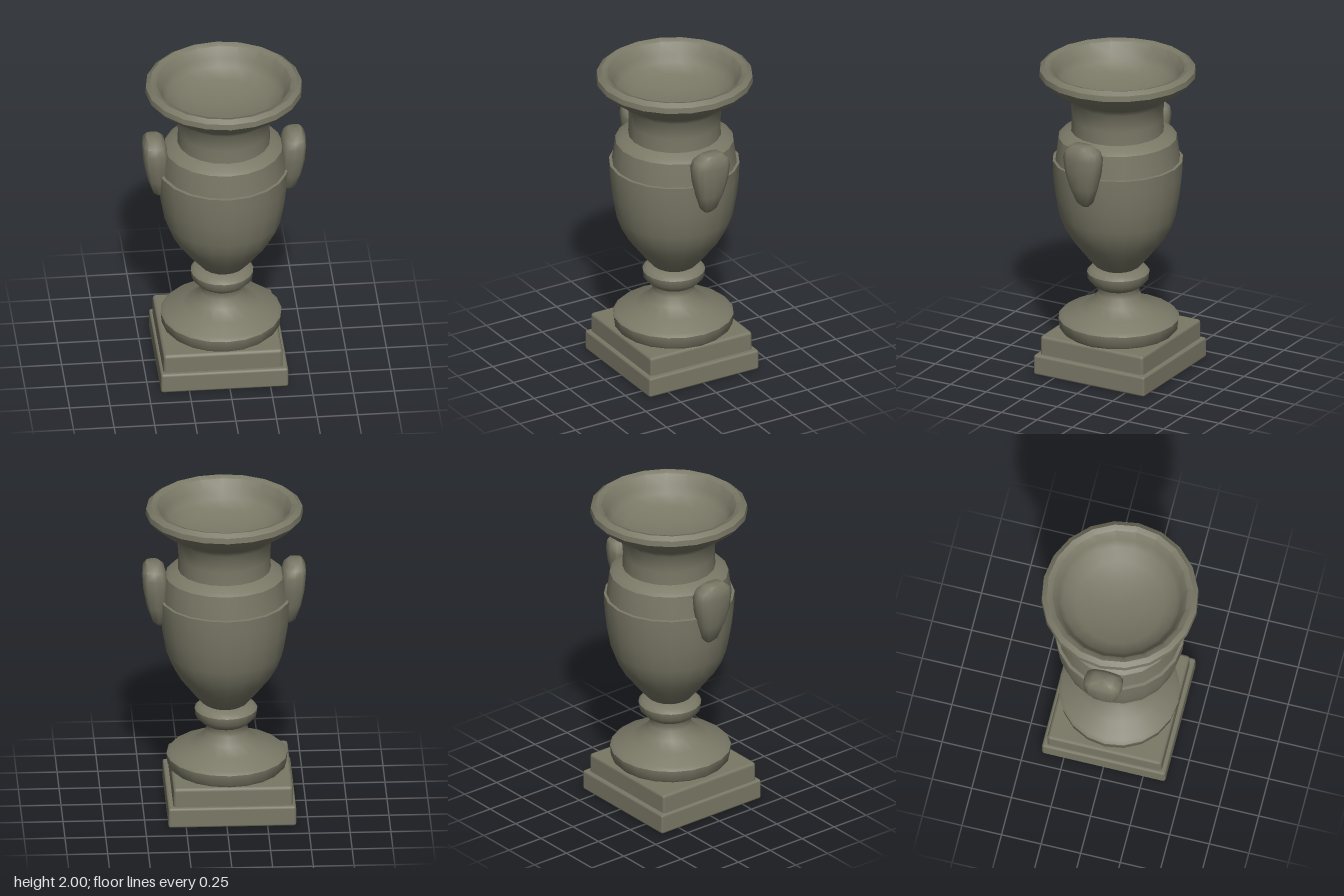
import * as THREE from 'three';
import { toCreasedNormals } from 'three/addons/utils/BufferGeometryUtils.js';
import { RoundedBoxGeometry } from 'three/addons/geometries/RoundedBoxGeometry.js';

export function createModel() {
  const group = new THREE.Group();
  const stone = new THREE.MeshStandardMaterial({ color: 0x7a7866 });

  const add = (name, geometry, x = 0, y = 0, z = 0) => {
    const mesh = new THREE.Mesh(geometry, stone);
    mesh.name = name;
    mesh.position.set(x, y, z);
    group.add(mesh);
    return mesh;
  };

  // Turned part from [radius, height] points, listed upward on the outside
  const turned = (name, points, x, segments = 20) => {
    const profile = points.map(([r, y]) => new THREE.Vector2(r, y));
    return add(name, toCreasedNormals(new THREE.LatheGeometry(profile, segments), 0.75), x);
  };

  // Square plinth in two steps, slightly off the axis
  add('lowerPlinth', new RoundedBoxGeometry(0.785, 0.13, 0.78, 1, 0.015), -0.033, 0.065, 0);
  add('upperPlinth', new RoundedBoxGeometry(0.735, 0.14, 0.725, 1, 0.02), -0.04, 0.18, 0);

  // Spreading foot and waist
  turned('foot', [
    [0.33, 0.235], [0.365, 0.27], [0.372, 0.335], [0.35, 0.355], [0.24, 0.39],
    [0.165, 0.44], [0.13, 0.49], [0.125, 0.52], [0.14, 0.56],
  ], -0.018);

  // Ring between foot and bowl
  turned('stemRing', [
    [0.12, 0.53], [0.15, 0.55], [0.188, 0.59], [0.193, 0.635], [0.17, 0.66], [0.1, 0.67],
  ], -0.012);

  // Main bowl
  turned('bowl', [
    [0.1, 0.655], [0.14, 0.68], [0.2, 0.75], [0.23, 0.79], [0.285, 0.86], [0.33, 0.94],
    [0.36, 1.02], [0.385, 1.16], [0.398, 1.28], [0.402, 1.38], [0.36, 1.385],
  ], -0.006);

  // Shoulder band above the bowl
  turned('shoulder', [
    [0.385, 1.375], [0.376, 1.45], [0.365, 1.53], [0.34, 1.55], [0.28, 1.575],
  ], -0.004);

  // Neck, flared lip and shallow dished top
  turned('neckAndRim', [
    [0.287, 1.54], [0.282, 1.66], [0.29, 1.77], [0.325, 1.81], [0.4, 1.86],
    [0.455, 1.905], [0.484, 1.94], [0.48, 1.975], [0.45, 1.997], [0.415, 1.985],
    [0.38, 1.92], [0.35, 1.875], [0.27, 1.835], [0.14, 1.805], [0, 1.795],
  ], -0.002);

  // Tapered lug handles: [height, inner x, outer x, half width]
  const sections = [
    [1.2, 0.37, 0.41, 0.02], [1.23, 0.36, 0.44, 0.05], [1.33, 0.35, 0.475, 0.085],
    [1.44, 0.35, 0.496, 0.112], [1.53, 0.35, 0.503, 0.122], [1.58, 0.365, 0.5, 0.11],
    [1.615, 0.395, 0.48, 0.065],
  ];
  const lug = new THREE.CylinderGeometry(1, 1, sections.length - 1, 12, sections.length - 1);
  const pos = lug.attributes.position;
  const square = (v) => Math.sign(v) * Math.pow(Math.abs(v), 0.6);
  for (let i = 0; i < pos.count; i++) {
    const row = Math.round(pos.getY(i) + (sections.length - 1) / 2);
    const [y, inner, outer, half] = sections[row];
    const x = (inner + outer) / 2 + square(pos.getX(i)) * (outer - inner) / 2;
    pos.setXYZ(i, x, y, square(pos.getZ(i)) * half);
  }
  const handle = toCreasedNormals(lug, 0.9);
  add('leftHandle', handle);
  add('rightHandle', handle).rotation.y = Math.PI;

  return group;
}
